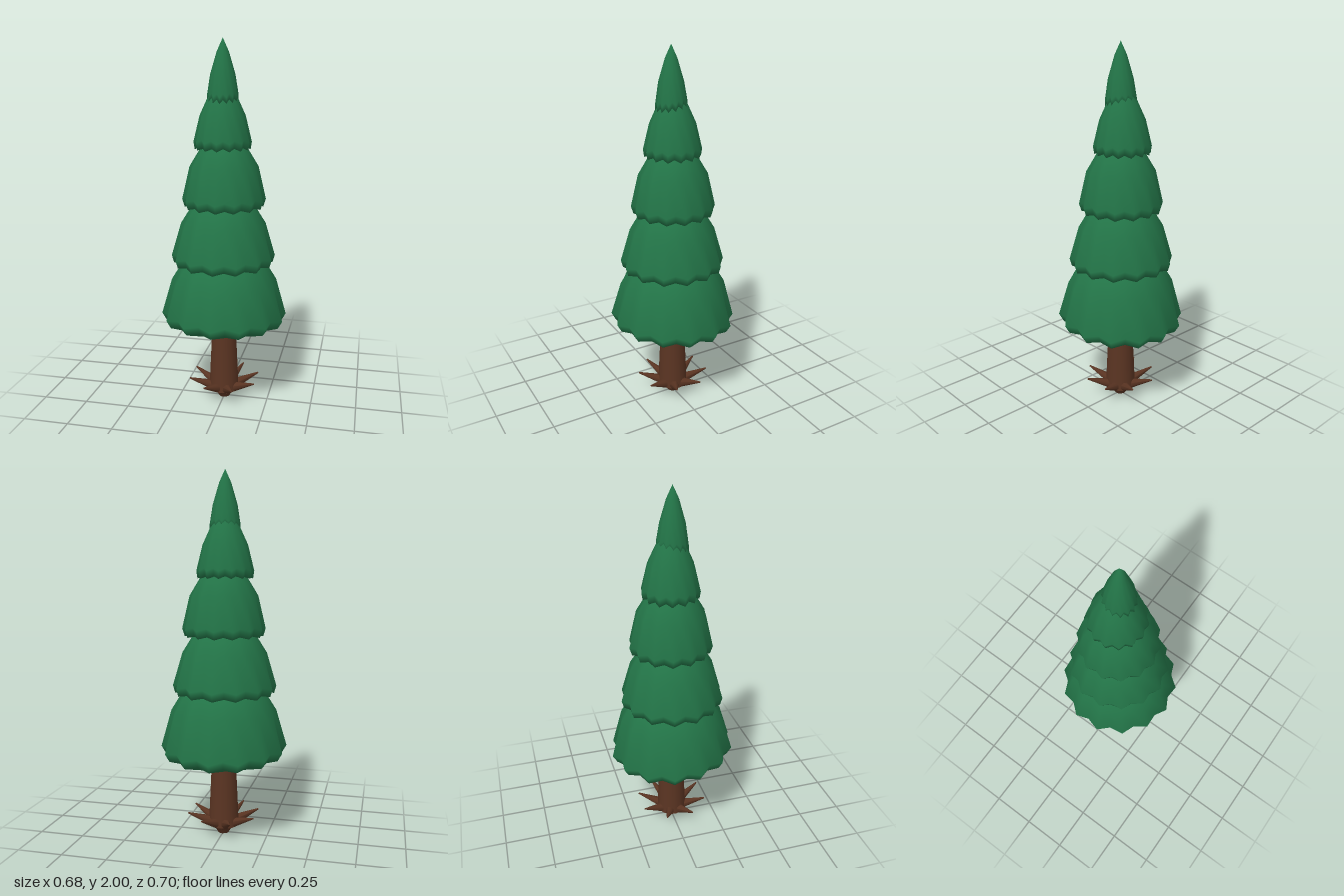
import * as THREE from 'three';
import { mergeVertices } from 'three/addons/utils/BufferGeometryUtils.js';

const POINTS = 14; // scallops around each skirt

// Lathe with a welded seam; rule(v, angle, ripple) may move each vertex
function lathe(profile, sides, rule) {
  const geo = new THREE.LatheGeometry(profile.map(([r, y]) => new THREE.Vector2(r, y)), sides);
  const pos = geo.attributes.position;
  const v = new THREE.Vector3();
  for (let i = 0; i < pos.count; i++) {
    v.fromBufferAttribute(pos, i);
    rule(v, i % profile.length);
    pos.setXYZ(i, v.x, v.y, v.z);
  }
  geo.deleteAttribute('uv');
  geo.deleteAttribute('normal');
  const welded = mergeVertices(geo, 1e-5);
  welded.computeVertexNormals();
  return welded;
}

// One skirt of needles: profile rows are [radius, y, ripple depth]
function skirt({ rows, x = 0, z = 0, tilt = 0 }) {
  return lathe(rows, POINTS * 2, (v, row) => {
    const wave = Math.cos(Math.atan2(v.x, v.z) * POINTS);
    const depth = rows[row][2];
    const k = 1 + depth * wave;
    v.set(v.x * k, v.y - depth * wave * 0.15, v.z * k);
    if (row < 4) v.y += v.z * tilt; // slanted hem
    v.x += x;
    v.z += z;
  });
}

const TIERS = [
  { x: -0.002, tilt: 0.05, rows: [
    [0, 0.375, 0], [0.08, 0.38, 0], [0.31, 0.465, 0.04], [0.333, 0.51, 0.045],
    [0.283, 0.71, 0.025], [0.215, 0.825, 0.01], [0.1, 0.92, 0]] },
  { x: -0.006, rows: [
    [0.1, 0.84, 0], [0.2, 0.815, 0.02], [0.262, 0.808, 0.04], [0.272, 0.85, 0.045],
    [0.225, 1.03, 0.025], [0.165, 1.13, 0.01], [0.08, 1.22, 0]] },
  { x: -0.003, z: -0.004, rows: [
    [0.08, 1.15, 0], [0.16, 1.125, 0.02], [0.205, 1.122, 0.04], [0.217, 1.165, 0.045],
    [0.18, 1.34, 0.03], [0.125, 1.435, 0.01], [0.06, 1.52, 0]] },
  { x: -0.011, z: -0.006, rows: [
    [0.05, 1.46, 0], [0.11, 1.438, 0.02], [0.142, 1.435, 0.05], [0.148, 1.475, 0.05],
    [0.118, 1.61, 0.03], [0.078, 1.7, 0.01], [0.04, 1.77, 0]] },
  { x: -0.008, z: 0.004, tilt: -0.15, rows: [
    [0.03, 1.71, 0], [0.06, 1.695, 0.03], [0.078, 1.69, 0.06], [0.078, 1.72, 0.06],
    [0.064, 1.82, 0.03], [0.032, 1.93, 0.01], [0, 2, 0]] },
];

export function createModel() {
  const model = new THREE.Group();
  const needles = new THREE.MeshStandardMaterial({ color: 0x237548 });
  needles.name = 'needle green';
  const bark = new THREE.MeshStandardMaterial({ color: 0x5a3422 });
  bark.name = 'bark brown';

  const add = (name, geo, mat, parent = model) => {
    const mesh = new THREE.Mesh(geo, mat);
    mesh.name = name;
    parent.add(mesh);
    return mesh;
  };

  // Stacked foliage
  const foliage = new THREE.Group();
  foliage.name = 'foliage';
  model.add(foliage);
  TIERS.forEach((tier, i) => add(`foliageTier${i + 1}`, skirt(tier), needles, foliage));

  // Trunk, with a stub tapering into the ground
  add('trunk', new THREE.CylinderGeometry(0.068, 0.085, 0.36, 16), bark).position.set(-0.002, 0.23, 0);
  add('trunkFoot', new THREE.CylinderGeometry(0.07, 0.03, 0.06, 10), bark).position.y = 0.03;

  // Pointed roots, flaring out and slightly up
  const roots = new THREE.Group();
  roots.name = 'roots';
  model.add(roots);
  const up = new THREE.Vector3(0, 1, 0);
  for (let i = 0; i < 8; i++) {
    const a = (i + 0.5) * Math.PI / 4;
    const start = new THREE.Vector3(Math.cos(a) * 0.03, 0.055, Math.sin(a) * 0.03);
    const tip = new THREE.Vector3(Math.cos(a) * 0.2, 0.122, Math.sin(a) * 0.2);
    const dir = tip.clone().sub(start);
    const root = add(`root${i + 1}`, new THREE.CylinderGeometry(0.004, 0.034, dir.length(), 8), bark, roots);
    root.position.copy(start).add(tip).multiplyScalar(0.5);
    root.quaternion.setFromUnitVectors(up, dir.normalize());
  }
  return model;
}
